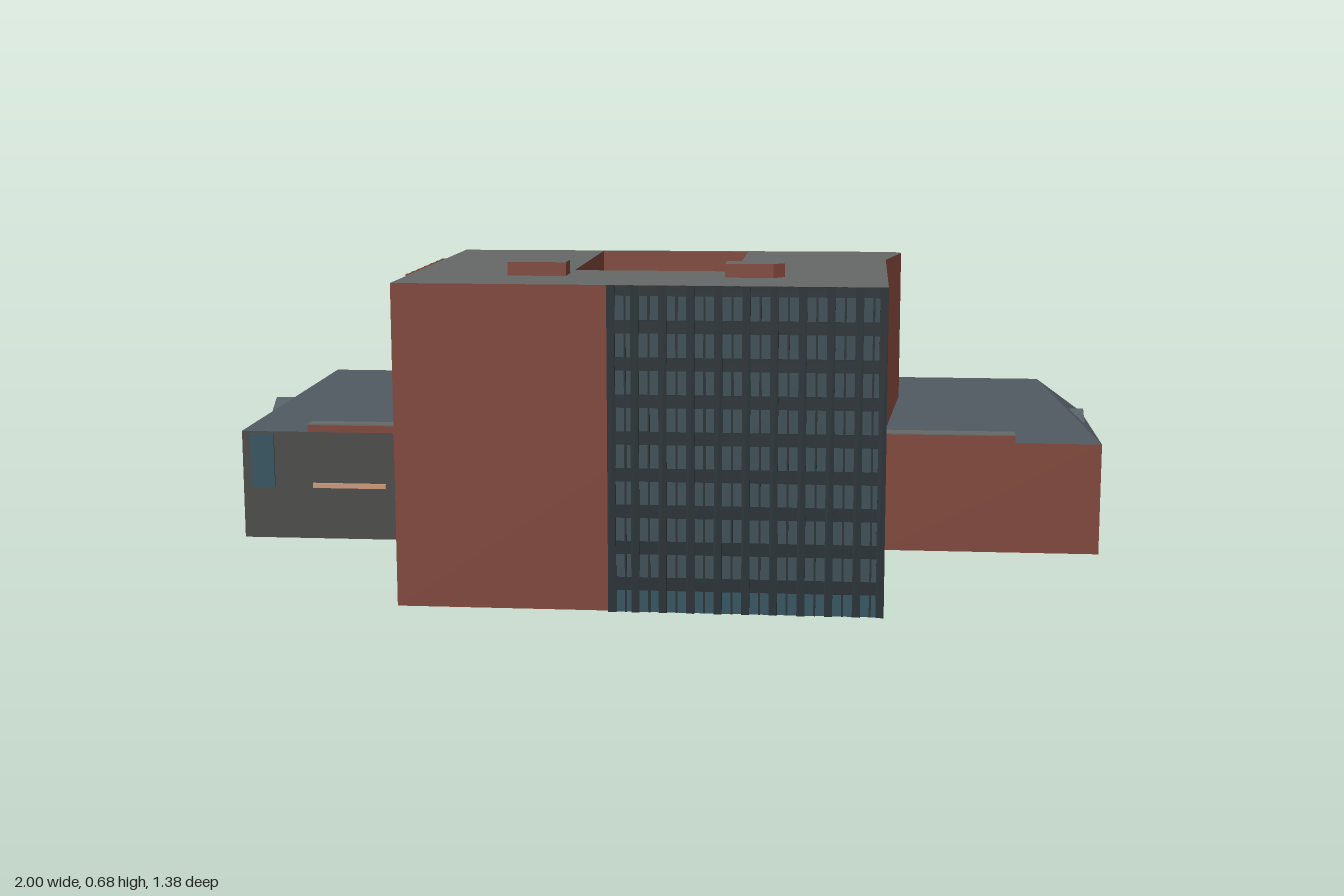
import * as THREE from 'three';

const mat = (color) => new THREE.MeshStandardMaterial({ color, side: THREE.DoubleSide, flatShading: true });
const brick = mat(0x7d4438), flat = mat(0x656866), slate = mat(0x4c545c), glass = mat(0x3a4c54),
  frame = mat(0x242d31), render = mat(0x4a4a48), teal = mat(0x35525e), pale = mat(0xc89878);

const TOP = 0.655, EAVE = 0.25, RIDGE = 0.352;
const BACK = -0.418, FRONT = 0.022, WEST = -1.035, EAST = 0.92;

function add(parent, name, geometry, material, x = 0, y = 0, z = 0) {
  const m = new THREE.Mesh(geometry, material);
  m.name = name;
  m.position.set(x, y, z);
  parent.add(m);
  return m;
}

// box given by its lower and upper corners
function block(parent, name, material, [x0, y0, z0], [x1, y1, z1]) {
  return add(parent, name, new THREE.BoxGeometry(x1 - x0, y1 - y0, z1 - z0), material,
    (x0 + x1) / 2, (y0 + y1) / 2, (z0 + z1) / 2);
}

// flat convex panel through the given corners
function panel(parent, name, material, pts) {
  const pos = [];
  for (let i = 1; i < pts.length - 1; i++) pos.push(...pts[0], ...pts[i], ...pts[i + 1]);
  const g = new THREE.BufferGeometry();
  g.setAttribute('position', new THREE.Float32BufferAttribute(pos, 3));
  g.computeVertexNormals();
  return add(parent, name, g, material);
}

// upright wall between two plan points [x, z]
function wall(parent, name, a, b, y0, y1, material = brick) {
  panel(parent, name, material, [[a[0], y0, a[1]], [b[0], y0, b[1]], [b[0], y1, b[1]], [a[0], y1, a[1]]]);
}

const shapeOf = (pts) => new THREE.Shape(pts.map((p) => new THREE.Vector2(...p)));
const extrude = (shape, depth) =>
  new THREE.ExtrudeGeometry(shape, { depth, bevelEnabled: false, curveSegments: 6 });

// small pitched roof running along its local z
function gable(parent, name, halfWidth, y0, shoulder, peak, depth) {
  const s = shapeOf([[-halfWidth, y0], [halfWidth, y0], [halfWidth, shoulder], [0, peak], [-halfWidth, shoulder]]);
  return add(parent, name, extrude(s, depth), [brick, slate]);
}

// window bay in local x/y: glass behind a grid of posts and spandrels
function windowBay(name, width, cols, rows, frameMat, baseGlass) {
  const g = new THREE.Group();
  g.name = name;
  const base = 0.065, rowH = (TOP - base) / rows, colW = width / cols;
  block(g, 'bayGlass', glass, [0, base, 0.001], [width, TOP, 0.003]);
  block(g, 'groundGlazing', baseGlass, [0, 0, 0.001], [width, base, 0.004]);
  for (let c = 0; c <= cols; c++) {
    const x = Math.min(Math.max(c * colW, 0.008), width - 0.008);
    block(g, 'post', frameMat, [x - 0.008, 0, 0], [x + 0.008, TOP, 0.009]);
    if (c < cols) block(g, 'mullion', frameMat, [x + colW / 2 - 0.002, 0, 0], [x + colW / 2 + 0.002, TOP, 0.006]);
  }
  for (let r = 0; r <= rows; r++) {
    const y = base + r * rowH;
    block(g, 'spandrel', frameMat, [0, Math.max(y - 0.02, 0), 0], [width, Math.min(y + 0.006, TOP), 0.007]);
  }
  return g;
}

function buildTower() {
  const t = new THREE.Group();
  t.name = 'tower';
  const W = -0.542, E = 0.436, F = 0.582, B = -0.172;
  const cw = -0.217, ce = 0.12, cf = 0.291;

  // roof slab with the courtyard cut out against the rear wall
  const roof = shapeOf([[W, -B], [E + 0.02, 0.2], [0.473, 0.176], [E, 0], [E, -F], [W, -F]]);
  roof.holes.push(new THREE.Path([[cw, -B], [cw, -cf], [ce, -cf], [ce, -B]].map((p) => new THREE.Vector2(...p))));
  add(t, 'towerRoof', new THREE.ShapeGeometry(roof), flat, 0, TOP, 0).rotation.x = -Math.PI / 2;

  // outer walls, stopping above the hall roof at the rear
  wall(t, 'frontWall', [W, F], [E, F], 0, TOP);
  wall(t, 'westWall', [W, F], [W, FRONT], 0, TOP);
  wall(t, 'westRearWall', [W, FRONT], [W, B], EAVE, TOP);
  wall(t, 'eastWall', [E, F], [E, 0], 0, TOP);
  wall(t, 'eastFlare', [E, 0], [0.473, -0.176], EAVE, TOP);
  wall(t, 'eastFlareEnd', [0.473, -0.176], [E + 0.02, -0.2], 0.29, TOP);
  wall(t, 'rearWall', [E + 0.02, -0.2], [W, B], 0.29, TOP);

  // courtyard walls
  wall(t, 'courtFront', [cw, cf], [ce, cf], 0, TOP);
  for (const x of [cw, ce]) {
    wall(t, 'courtSide', [x, cf], [x, FRONT], 0, TOP);
    wall(t, 'courtSideUpper', [x, FRONT], [x, B], EAVE, TOP);
  }

  // window bays
  const front = windowBay('frontWindows', 0.548, 10, 8, frame, teal);
  front.position.set(-0.112, 0, F);
  t.add(front);
  const west = windowBay('westWindows', 0.36, 6, 8, brick, glass);
  west.position.set(W, 0, 0.05);
  west.rotation.y = -Math.PI / 2;
  t.add(west);
  // dark inner faces of the bays
  wall(t, 'frontBayLining', [-0.112, F - 0.002], [E - 0.001, F - 0.002], 0, TOP - 0.002, frame);
  wall(t, 'westBayLining', [W + 0.002, 0.05], [W + 0.002, 0.41], 0, TOP - 0.002, frame);

  // rooftop plant boxes, one with a chamfered end
  for (const [x, z, chamfer] of [[-0.277, 0.387, 0], [0.168, 0.39, 0.022]]) {
    const s = shapeOf([[-0.06, -0.03], [0.06 - chamfer, -0.03], [0.06, -0.03 + chamfer],
      [0.06, 0.03 - chamfer], [0.06 - chamfer, 0.03], [-0.06, 0.03]]);
    add(t, 'plantBox', extrude(s, 0.028), [flat, brick], x, TOP, z).rotation.x = -Math.PI / 2;
  }
  return t;
}

function buildHall() {
  const h = new THREE.Group();
  h.name = 'longHall';

  // walls; the front is open where the tower joins
  wall(h, 'westEndWall', [WEST, BACK], [WEST, FRONT], 0, EAVE);
  wall(h, 'eastEndWall', [EAST, BACK], [EAST, FRONT], 0, EAVE);
  wall(h, 'frontWallWest', [WEST, FRONT], [-0.542, FRONT], 0, EAVE, render);
  wall(h, 'frontWallEast', [0.436, FRONT], [EAST, FRONT], 0, EAVE);
  wall(h, 'backWall', [-0.43, BACK], [EAST, BACK], 0, EAVE);
  block(h, 'tallWindow', teal, [-1.015, 0.12, FRONT - 0.004], [-0.96, 0.245, FRONT + 0.004]);
  block(h, 'paleBand', pale, [-0.87, 0.12, FRONT], [-0.7, 0.131, FRONT + 0.006]);

  // arcaded wall with three rows of arched openings
  const arcade = shapeOf([[WEST, 0], [-0.43, 0], [-0.43, EAVE], [WEST, EAVE]]);
  for (let row = 0; row < 3; row++) for (let c = 0; c < 6; c++) {
    const x = WEST + 0.0504 + c * 0.1008, y = 0.01 + row * 0.082, r = 0.033;
    const p = new THREE.Path();
    p.moveTo(x - r, y);
    p.lineTo(x + r, y);
    p.lineTo(x + r, y + 0.034);
    p.absarc(x, y + 0.034, r, 0, Math.PI, false);
    p.lineTo(x - r, y);
    arcade.holes.push(p);
    block(h, 'archMullion', brick, [x - 0.003, y, BACK + 0.004], [x + 0.003, y + 0.065, BACK + 0.012]);
  }
  add(h, 'arcadeWall', extrude(arcade, 0.014), brick, 0, 0, BACK);
  wall(h, 'arcadeGlass', [WEST, BACK + 0.012], [-0.43, BACK + 0.012], 0.003, EAVE - 0.003, flat);

  // hipped roof with a low brick step along the ridge
  const f0 = [WEST, EAVE, FRONT], f1 = [EAST, EAVE, FRONT], b0 = [WEST, EAVE, BACK], b1 = [EAST, EAVE, BACK];
  const r0 = [-0.884, RIDGE, -0.265], r1 = [0.798, RIDGE, -0.265];
  const s0 = [-0.84, 0.325, -0.268], s1 = [0.755, 0.325, -0.268];
  panel(h, 'frontSlope', slate, [f0, f1, r1, r0]);
  panel(h, 'backSlope', slate, [b1, b0, s0, s1]);
  panel(h, 'westHip', slate, [b0, f0, r0]);
  panel(h, 'eastHip', slate, [f1, b1, r1]);
  panel(h, 'westHipCorner', slate, [b0, r0, s0]);
  panel(h, 'eastHipCorner', slate, [r1, b1, s1]);
  panel(h, 'ridgeStep', brick, [r1, r0, s0, s1]);

  // cross gables over pilasters on the back
  for (const x of [-0.396, 0.282]) {
    gable(h, 'crossGable', 0.036, EAVE, 0.285, RIDGE, 0.162).position.set(x, 0, BACK - 0.012);
    block(h, 'pilaster', brick, [x - 0.036, 0, BACK - 0.012], [x + 0.036, EAVE, BACK]);
  }

  // little gables on the hipped ends
  for (const [x, turn] of [[WEST + 0.02, 1], [EAST - 0.02, -1]]) {
    const g = gable(h, 'endGable', 0.055, EAVE, 0.255, 0.295, 0.1);
    g.position.set(x, 0, -0.19);
    g.rotation.y = turn * Math.PI / 2;
  }

  // flat-topped strips along the eaves
  const strips = [[-0.93, -0.445, BACK], [-0.345, 0.23, BACK], [0.33, 0.62, BACK],
    [-0.88, -0.545, FRONT - 0.04], [0.44, 0.73, FRONT - 0.04]];
  for (const [x0, x1, z] of strips) {
    block(h, 'eaveStrip', brick, [x0, EAVE, z], [x1, 0.266, z + 0.04]);
    block(h, 'eaveStripCap', flat, [x0, 0.266, z], [x1, 0.269, z + 0.04]);
  }
  return h;
}

export function createModel() {
  const model = new THREE.Group();
  model.name = 'building';
  const plan = new THREE.Group();
  plan.name = 'rotatedPlan';
  plan.rotation.y = -0.2823;
  plan.add(buildTower(), buildHall());
  model.add(plan);
  return model;
}
